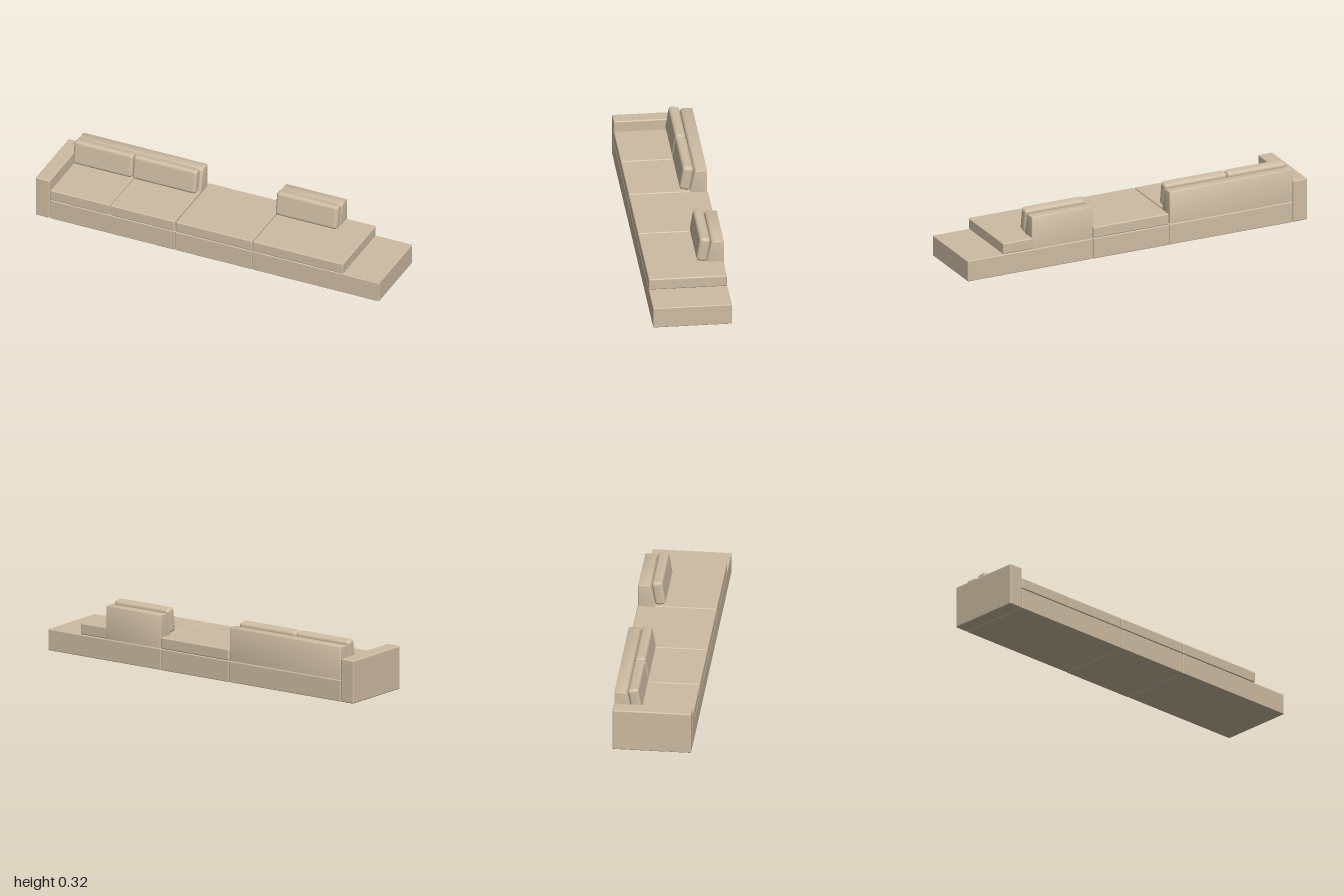
import * as THREE from 'three';
import { RoundedBoxGeometry } from 'three/addons/geometries/RoundedBoxGeometry.js';
import { toCreasedNormals } from 'three/addons/utils/BufferGeometryUtils.js';

export function createModel() {
  const sofa = new THREE.Group();
  sofa.name = 'modularSofa';
  const fabric = new THREE.MeshStandardMaterial({ color: 0xcebca3 });
  fabric.name = 'beigeFabric';

  function add(name, geometry) {
    const mesh = new THREE.Mesh(geometry, fabric);
    mesh.name = name;
    sofa.add(mesh);
    return mesh;
  }

  // Upholstered block given by its extents
  function block(name, x0, x1, y0, y1, z0, z1, radius) {
    const geo = new RoundedBoxGeometry(x1 - x0, y1 - y0, z1 - z0, 3, radius);
    add(name, geo).position.set((x0 + x1) / 2, (y0 + y1) / 2, (z0 + z1) / 2);
  }

  // Backrest wedge: upright rear face, sloping front, softened edges
  function backrest(name, x0, x1) {
    const b = 0.005;
    const s = new THREE.Shape();
    s.moveTo(-0.207, 0.117);
    s.lineTo(-0.102, 0.117);
    s.lineTo(-0.141, 0.284);
    s.quadraticCurveTo(-0.144, 0.297, -0.156, 0.297);
    s.lineTo(-0.203, 0.297);
    s.quadraticCurveTo(-0.207, 0.297, -0.207, 0.293);
    s.closePath();
    const geo = new THREE.ExtrudeGeometry(s, {
      depth: x1 - x0 - 2 * b, bevelEnabled: true, bevelSize: b,
      bevelThickness: b, bevelOffset: -b, bevelSegments: 3, curveSegments: 6,
    });
    geo.rotateY(-Math.PI / 2);
    add(name, toCreasedNormals(geo, 0.7)).position.x = x1 - b;
  }

  // Loose back pillow, fuller in the middle, leaning on the backrest
  function pillow(name, x0, x1) {
    const geo = new RoundedBoxGeometry(x1 - x0, 0.135, 0.058, 5, 0.018);
    const mesh = add(name, geo);
    mesh.position.set((x0 + x1) / 2, 0.248, -0.099);
    mesh.rotation.x = -0.16;
  }

  // Armrest and plinths
  block('rightArmrest', -1, -0.917, 0, 0.234, -0.208, 0.21, 0.007);
  block('rightBase', -0.915, -0.188, 0, 0.115, -0.208, 0.21, 0.005);
  block('middleBase', -0.186, 0.26, 0, 0.115, -0.21, 0.21, 0.005);
  block('leftBase', 0.262, 1, 0, 0.115, -0.208, 0.21, 0.005);

  // Seat cushions
  block('outerSeat', -0.915, -0.568, 0.116, 0.178, -0.2, 0.21, 0.007);
  block('innerSeat', -0.566, -0.19, 0.116, 0.178, -0.2, 0.21, 0.007);
  block('middleSeat', -0.184, 0.26, 0.116, 0.178, -0.21, 0.21, 0.007);
  block('leftSeat', 0.264, 0.79, 0.116, 0.178, -0.204, 0.21, 0.007);

  // Backrests and pillows
  backrest('rightBackrest', -0.915, -0.19);
  backrest('leftBackrest', 0.264, 0.62);
  pillow('outerPillow', -0.913, -0.569);
  pillow('innerPillow', -0.567, -0.197);
  pillow('leftPillow', 0.266, 0.624);

  return sofa;
}
